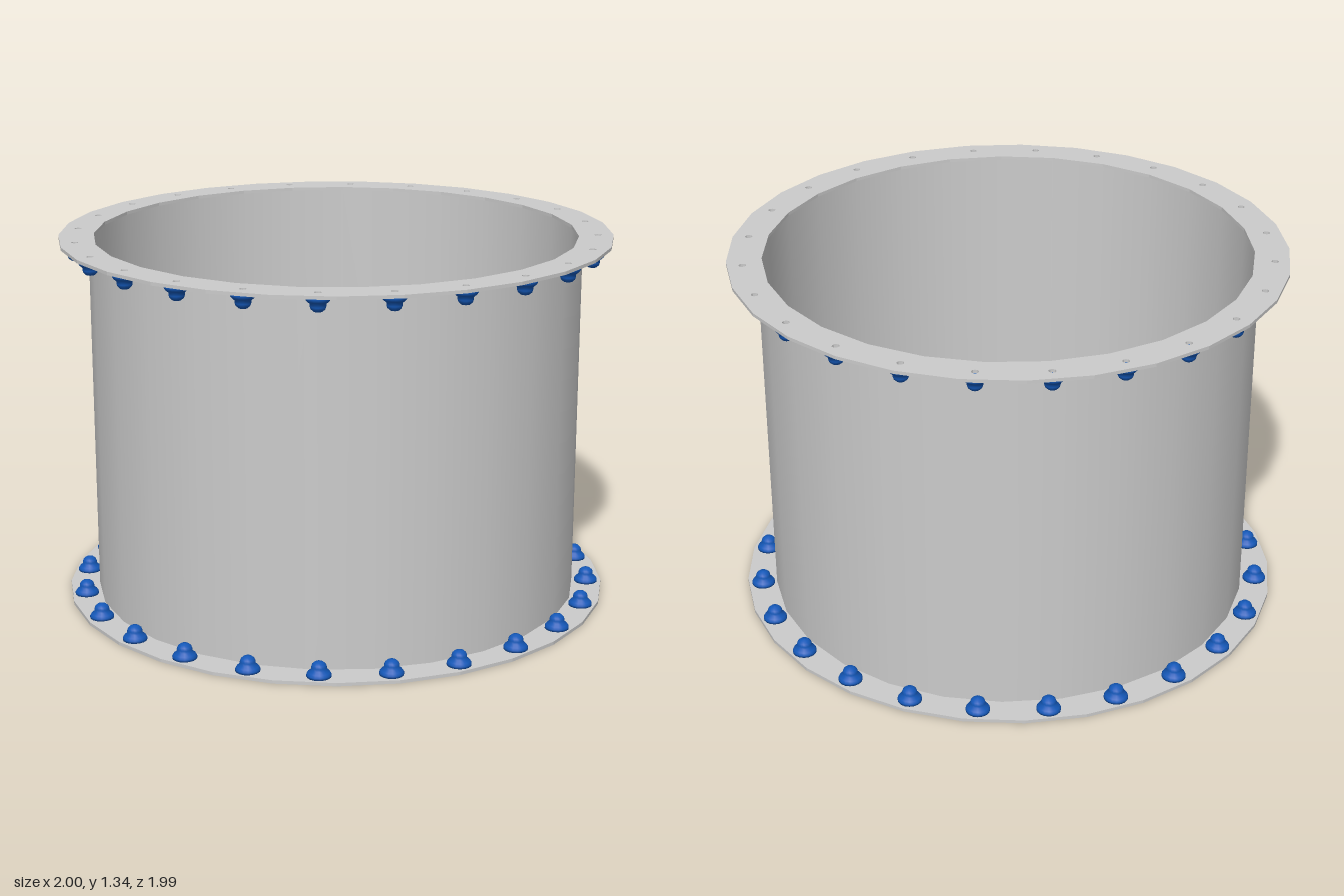
import * as THREE from 'three';

const HEIGHT = 1.34, PLATE = 0.012, BOLTS = 24, BOLT_R = 0.943;

// Points of a regular polygon, first corner at angle start
function ring(radius, sides, start, cx = 0, cy = 0) {
  return Array.from({ length: sides }, (_, i) => {
    const a = start + (i / sides) * Math.PI * 2;
    return new THREE.Vector2(cx + radius * Math.cos(a), cy + radius * Math.sin(a));
  });
}

export function createModel() {
  const model = new THREE.Group();
  const grey = new THREE.MeshStandardMaterial({ color: 0xcccccc });
  const greyInside = new THREE.MeshStandardMaterial({ color: 0xcccccc, side: THREE.DoubleSide });
  const blue = new THREE.MeshStandardMaterial({ color: 0x1458b8 });

  const add = (parent, name, geometry, material) => {
    const mesh = new THREE.Mesh(geometry, material);
    mesh.name = name;
    parent.add(mesh);
    return mesh;
  };

  // Pipe wall, outer and inner skins between the two flanges
  const wallH = HEIGHT - 2 * PLATE;
  const outer = new THREE.CylinderGeometry(0.892, 0.892, wallH, 27, 1, true);
  const inner = new THREE.CylinderGeometry(0.875, 0.875, wallH, 27, 1, true, Math.PI / 2);
  add(model, 'outerWall', outer, grey).position.y = HEIGHT / 2;
  add(model, 'innerWall', inner, greyInside).position.y = HEIGHT / 2;

  // Flange plate with centre opening and bolt holes
  const plate = new THREE.Shape(ring(1, 29, Math.PI / 2));
  plate.holes.push(new THREE.Path(ring(0.875, 27, 0)));
  for (const p of ring(BOLT_R, BOLTS, 0)) {
    plate.holes.push(new THREE.Path(ring(0.013, 10, 0, p.x, p.y)));
  }
  const flangeGeo = new THREE.ExtrudeGeometry(plate, { depth: PLATE, bevelEnabled: false });
  flangeGeo.rotateX(-Math.PI / 2);

  // Domed cap nut with a wide, sloping collar
  const nutGeo = new THREE.LatheGeometry([
    [0, 0], [0.043, 0], [0.043, 0.008], [0.038, 0.016], [0.027, 0.025],
    [0.027, 0.034], [0.024, 0.043], [0.015, 0.051], [0, 0.054],
  ].map(([x, y]) => new THREE.Vector2(x, y)), 16);

  // Bottom and top flanges, nuts on the inward-facing sides
  for (const top of [false, true]) {
    const side = top ? 'top' : 'bottom';
    add(model, side + 'Flange', flangeGeo, grey).position.y = top ? HEIGHT - PLATE : 0;
    const nuts = new THREE.Group();
    nuts.name = side + 'Nuts';
    for (const p of ring(BOLT_R, BOLTS, 0)) {
      const nut = add(nuts, 'nut', nutGeo, blue);
      nut.position.set(p.x, top ? HEIGHT - PLATE : PLATE, p.y);
      if (top) nut.rotation.x = Math.PI;
    }
    model.add(nuts);
  }
  return model;
}
